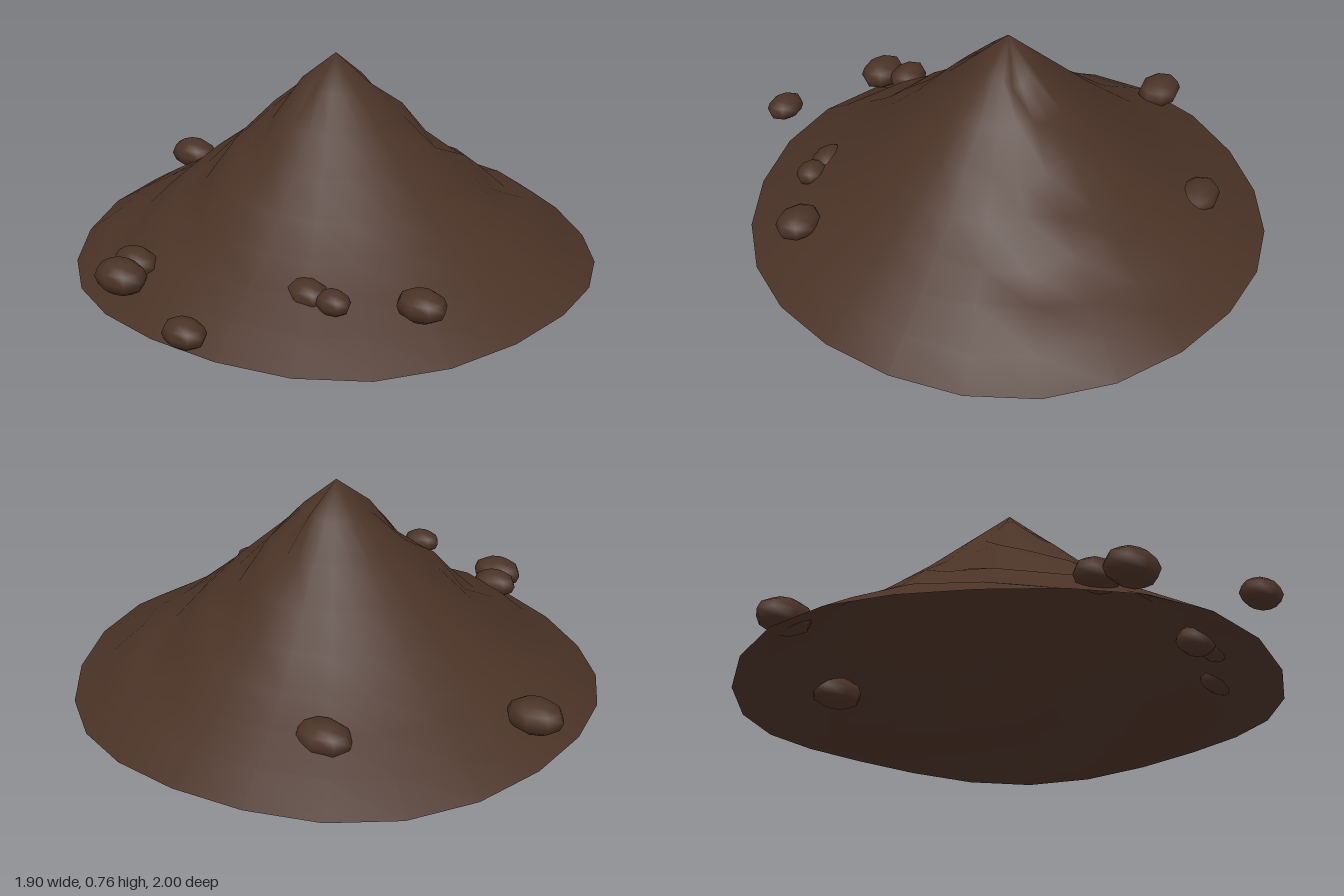
import * as THREE from 'three';
import { mergeVertices } from 'three/addons/utils/BufferGeometryUtils.js';

const earth = new THREE.MeshStandardMaterial({ color: 0x4a3226, side: THREE.DoubleSide });
earth.name = 'dark earth';

// Hollow, concave mound: a 24-sided lathe with uneven flanks and a wavy rim
function moundGeometry() {
  const profile = [
    [0.95, 0.02], [0.83, 0.095], [0.71, 0.165], [0.59, 0.24], [0.48, 0.33],
    [0.36, 0.43], [0.24, 0.54], [0.12, 0.65], [0, 0.76],
  ].map(([r, y]) => new THREE.Vector2(r, y));
  let geo = new THREE.LatheGeometry(profile, 24);
  const p = geo.attributes.position;
  for (let i = 0; i < p.count; i++) {
    const x = p.getX(i), z = p.getZ(i), r = Math.hypot(x, z);
    if (r < 0.01) {
      p.setXYZ(i, 0, 0.76, 0);
      continue;
    }
    const a = Math.atan2(z, x);
    const rim = 0.018 * Math.cos(4 * a) * r;
    // Lumpy ridges on two opposite flanks
    const side = Math.max(0, -Math.sin(2 * a + 0.2));
    const lumps = 0.03 * side * Math.sin(24 * r + 5 * a) * Math.min(1, (0.95 - r) * 5);
    p.setY(i, p.getY(i) + rim + lumps);
  }
  geo.deleteAttribute('uv');
  geo.deleteAttribute('normal');
  geo = mergeVertices(geo, 1e-4);
  geo.computeVertexNormals();
  return geo;
}

export function createModel() {
  const model = new THREE.Group();
  model.name = 'dirtMound';

  const mound = new THREE.Mesh(moundGeometry(), earth);
  mound.name = 'mound';
  mound.position.z = -0.05;
  model.add(mound);

  // Flattened clods around the foot: centre x, y, z and radii
  const clods = [
    [-0.335, 0.15, -0.655, 0.105, 0.06, 0.075],
    [-0.84, 0.145, -0.17, 0.1, 0.06, 0.078],
    [0.665, 0.15, 0.36, 0.088, 0.053, 0.072],
    [0.34, 0.155, 0.53, 0.08, 0.05, 0.06],
    [0.44, 0.155, 0.525, 0.062, 0.043, 0.05],
    [-0.275, 0.145, 0.695, 0.088, 0.053, 0.063],
    [-0.235, 0.145, 0.8, 0.1, 0.06, 0.075],
    [0.19, 0.14, 0.935, 0.079, 0.048, 0.06],
  ];
  const clodGeo = new THREE.SphereGeometry(1, 8, 6);
  clods.forEach(([x, y, z, rx, ry, rz], i) => {
    const clod = new THREE.Mesh(clodGeo, earth);
    clod.name = `clod${i + 1}`;
    clod.position.set(x, y, z);
    clod.scale.set(rx, ry, rz);
    model.add(clod);
  });
  return model;
}
